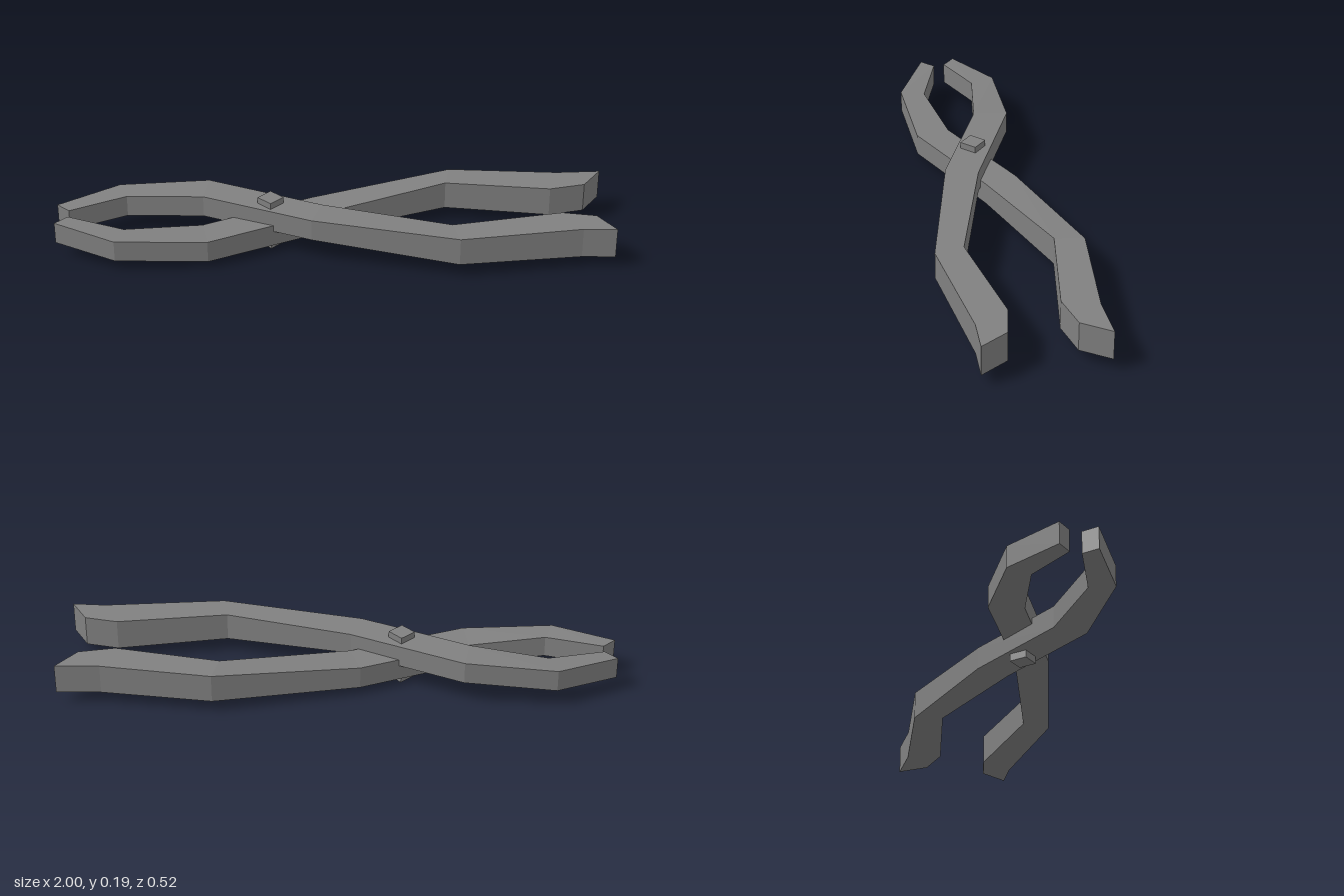
import * as THREE from 'three';

// Each row is one cross-section: back x, back z, front x, front z, bottom y, top y
const upperRows = [
  [-1, -0.065, -0.955, -0.02, 0.052, 0.132],
  [-0.78, -0.185, -0.75, -0.095, 0.066, 0.146],
  [-0.45, -0.175, -0.47, -0.05, 0.085, 0.165],
  [-0.04, 0.015, -0.08, 0.13, 0.083, 0.162],
  [0.42, 0.155, 0.44, 0.26, 0.05, 0.152],
  [0.82, 0.085, 0.88, 0.205, 0.042, 0.155],
  [0.94, 0.11, 1, 0.21, 0.042, 0.155],
];
const lowerRows = [
  [-0.955, 0.02, -1, 0.065, 0.05, 0.13],
  [-0.75, 0.095, -0.78, 0.183, 0.04, 0.118],
  [-0.47, 0.05, -0.45, 0.173, 0.025, 0.105],
  [-0.08, -0.13, -0.04, -0.012, 0.028, 0.11],
  [0.44, -0.265, 0.42, -0.16, 0.043, 0.147],
  [0.84, -0.22, 0.8, -0.095, 0.043, 0.152],
  [1, -0.225, 0.93, -0.125, 0.043, 0.152],
];

// Joins four-sided cross-sections into a closed, flat-faced bar
function barGeometry(rows) {
  const rings = rows.map(([ax, az, bx, bz, y0, y1]) => [
    [ax, y0, az], [ax, y1, az], [bx, y1, bz], [bx, y0, bz],
  ]);
  const positions = [];
  const quad = (a, b, c, d) => positions.push(...a, ...b, ...c, ...a, ...c, ...d);
  for (let i = 0; i < rings.length - 1; i++) {
    const r = rings[i], s = rings[i + 1];
    for (let k = 0; k < 4; k++) {
      const n = (k + 1) % 4;
      quad(r[k], r[n], s[n], s[k]);
    }
  }
  const first = rings[0], last = rings[rings.length - 1];
  quad(first[0], first[3], first[2], first[1]);
  quad(...last);
  const geometry = new THREE.BufferGeometry();
  geometry.setAttribute('position', new THREE.Float32BufferAttribute(positions, 3));
  geometry.computeVertexNormals();
  return geometry;
}

export function createModel() {
  const group = new THREE.Group();
  group.name = 'tongs';
  const iron = new THREE.MeshStandardMaterial({ color: 0x808080, flatShading: true });
  iron.name = 'grey iron';

  const add = (name, geometry) => {
    const mesh = new THREE.Mesh(geometry, iron);
    mesh.name = name;
    group.add(mesh);
    return mesh;
  };

  // Two crossing arms
  add('upperArm', barGeometry(upperRows));
  add('lowerArm', barGeometry(lowerRows));

  // Square pivot pin, turned on its corner
  const pin = add('pivotPin', new THREE.BoxGeometry(0.066, 0.187, 0.066));
  pin.position.set(-0.225, 0.0935, 0);
  pin.rotation.y = Math.PI / 4;

  return group;
}
